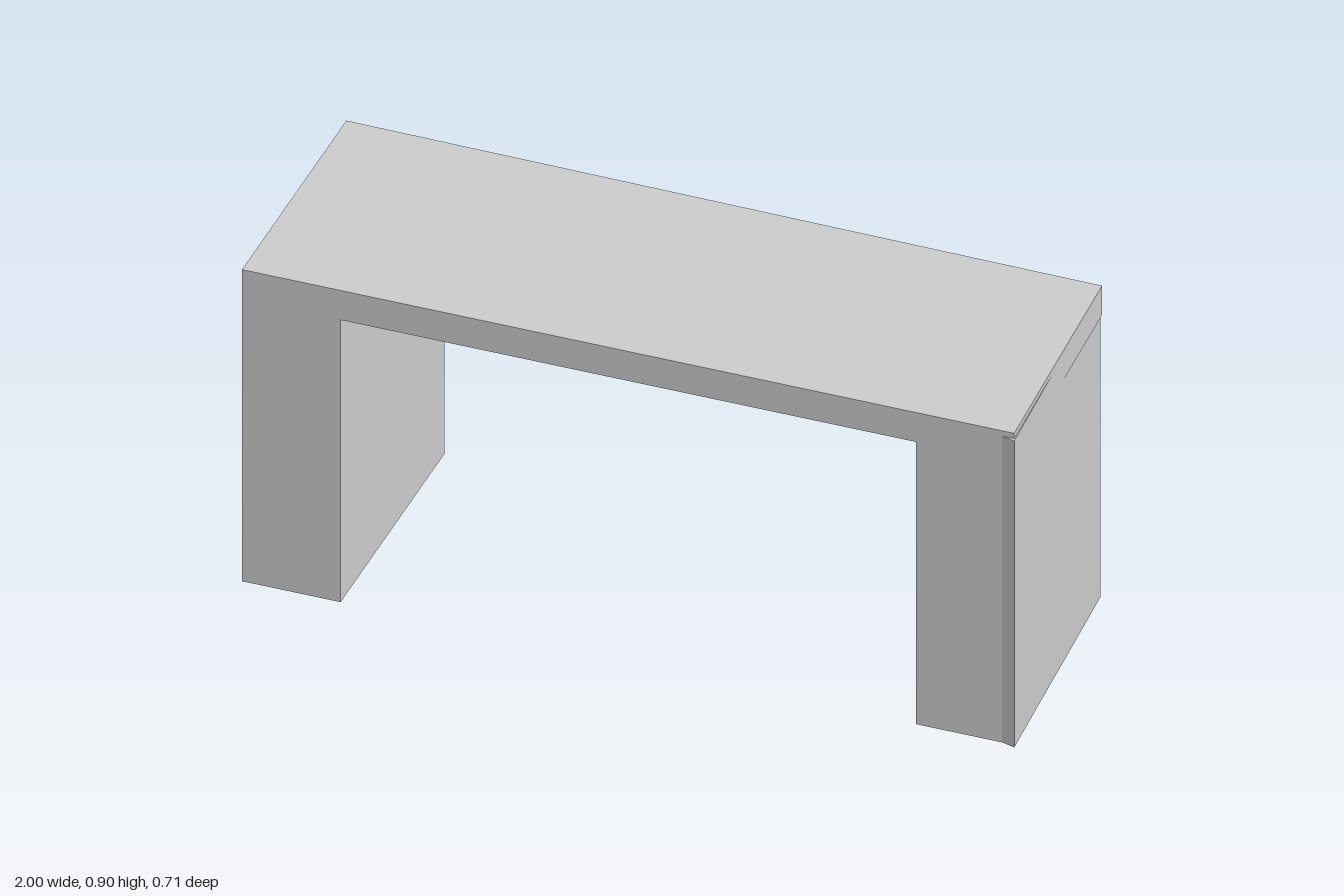
import * as THREE from 'three';

const material = new THREE.MeshStandardMaterial({ color: 0xcccccc, flatShading: true });

// Upright prism from a plan outline of [x, z] corners between two heights.
function prism(name, plan, bottom, top) {
  const shape = new THREE.Shape(plan.map(([x, z]) => new THREE.Vector2(x, -z)));
  const geometry = new THREE.ExtrudeGeometry(shape, { depth: top - bottom, bevelEnabled: false });
  geometry.rotateX(-Math.PI / 2).translate(0, bottom, 0);
  const mesh = new THREE.Mesh(geometry, material);
  mesh.name = name;
  return mesh;
}

export function createModel() {
  const group = new THREE.Group();
  group.name = 'bench';

  // Seat slab: slightly skewed, narrowing toward the left end
  group.add(prism('seat', [[-1, 0.345], [0.996, 0.345], [0.961, -0.335], [-1, -0.355]], 0.815, 0.9));

  // Right leg: a square-cut block
  group.add(prism('rightLeg', [[-1, 0.345], [-0.745, 0.345], [-0.745, -0.352], [-1, -0.354]], 0, 0.885));

  // Left leg: slanted outer side, front corner poking out past the seat
  group.add(prism('leftLeg',
    [[0.742, 0.345], [0.965, 0.345], [1, 0.355], [0.957, -0.334], [0.742, -0.337]], 0, 0.885));

  return group;
}
